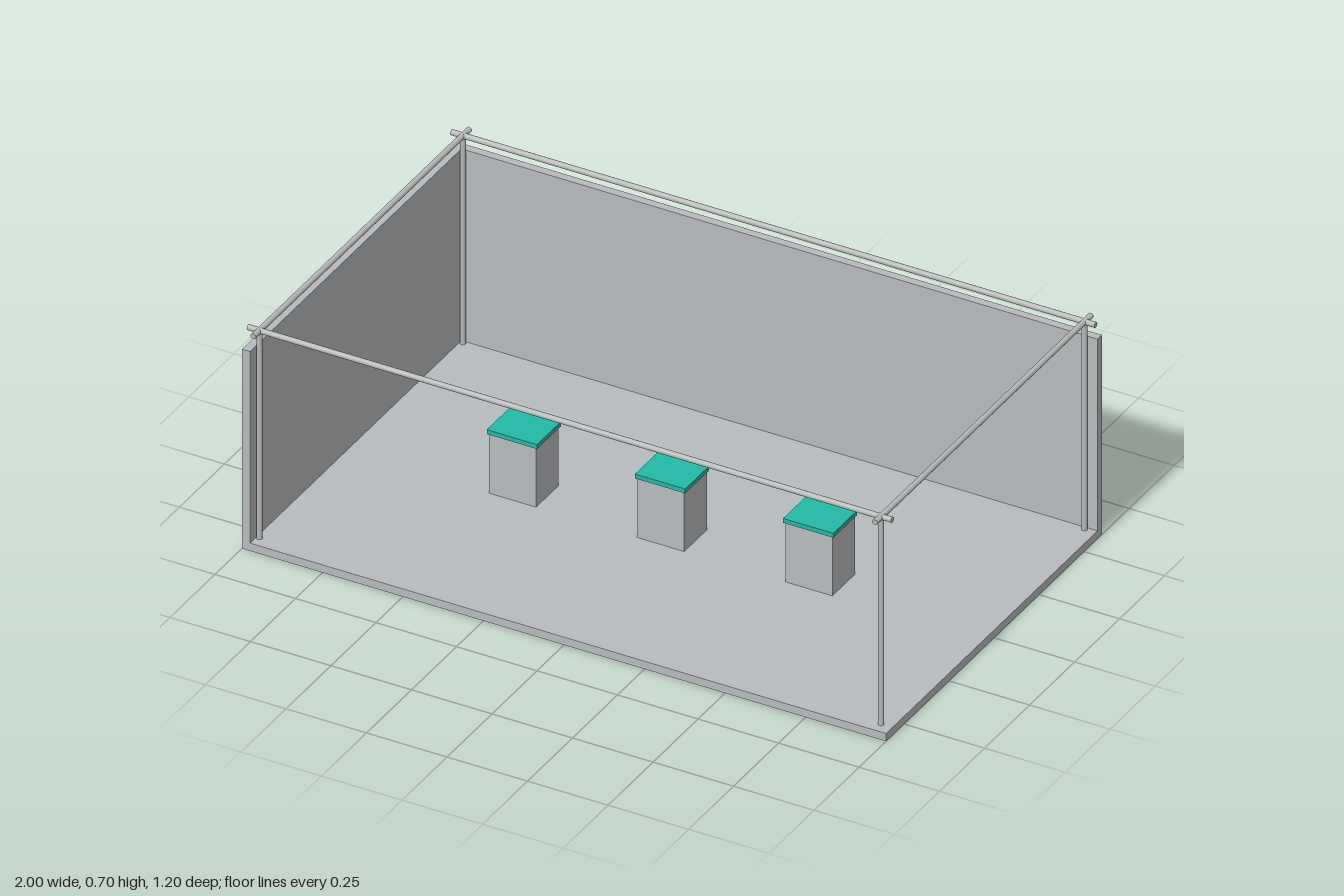
import * as THREE from 'three';

export function createModel() {
  const model = new THREE.Group();
  model.name = 'exhibitionBooth';

  const panelGrey = new THREE.MeshStandardMaterial({ color: 0xb8bcbf });
  panelGrey.name = 'panelGrey';
  const tubeGrey = new THREE.MeshStandardMaterial({ color: 0xb8baba });
  tubeGrey.name = 'tubeGrey';
  const teal = new THREE.MeshStandardMaterial({ color: 0x24b8a6 });
  teal.name = 'teal';

  const add = (name, geometry, material, x, y, z, parent = model) => {
    const mesh = new THREE.Mesh(geometry, material);
    mesh.name = name;
    mesh.position.set(x, y, z);
    parent.add(mesh);
    return mesh;
  };
  const box = (w, h, d) => new THREE.BoxGeometry(w, h, d);

  // Floor slab and the two walls standing on it
  const T = 0.025, WALL_TOP = 0.64;
  const wallH = WALL_TOP - T, wallY = (WALL_TOP + T) / 2;
  add('floor', box(2, T, 1.2), panelGrey, 0, T / 2, 0);
  add('backWall', box(2, wallH, T), panelGrey, 0, wallY, -0.6 + T / 2);
  add('sideWall', box(T, wallH, 1.2 - T), panelGrey, -1 + T / 2, wallY, T / 2);

  // Round tube frame: four posts, and top rails that cross at the corners
  const R = 0.0085, PX = 0.965, PZ = 0.565, RAIL_Y = 0.7 - R;
  const tube = (length) => new THREE.CylinderGeometry(R, R, length, 16);
  const frame = new THREE.Group();
  frame.name = 'tubeFrame';
  model.add(frame);
  for (const s of [-1, 1]) {
    for (const t of [-1, 1]) {
      add('post', tube(RAIL_Y - T), tubeGrey, s * PX, (RAIL_Y + T) / 2, t * PZ, frame);
    }
    add('longRail', tube(2), tubeGrey, 0, RAIL_Y, s * PZ, frame).rotation.z = Math.PI / 2;
    add('shortRail', tube(1.2), tubeGrey, s * PX, RAIL_Y, 0, frame).rotation.x = Math.PI / 2;
  }

  // Three display plinths with overhanging teal tops
  for (const x of [-0.46, 0, 0.46]) {
    const plinth = new THREE.Group();
    plinth.name = 'plinth';
    plinth.position.x = x;
    model.add(plinth);
    add('plinthBody', box(0.146, 0.19, 0.126), panelGrey, 0, T + 0.095, 0, plinth);
    add('plinthTop', box(0.156, 0.014, 0.133), teal, 0, 0.222, 0, plinth);
  }

  return model;
}
